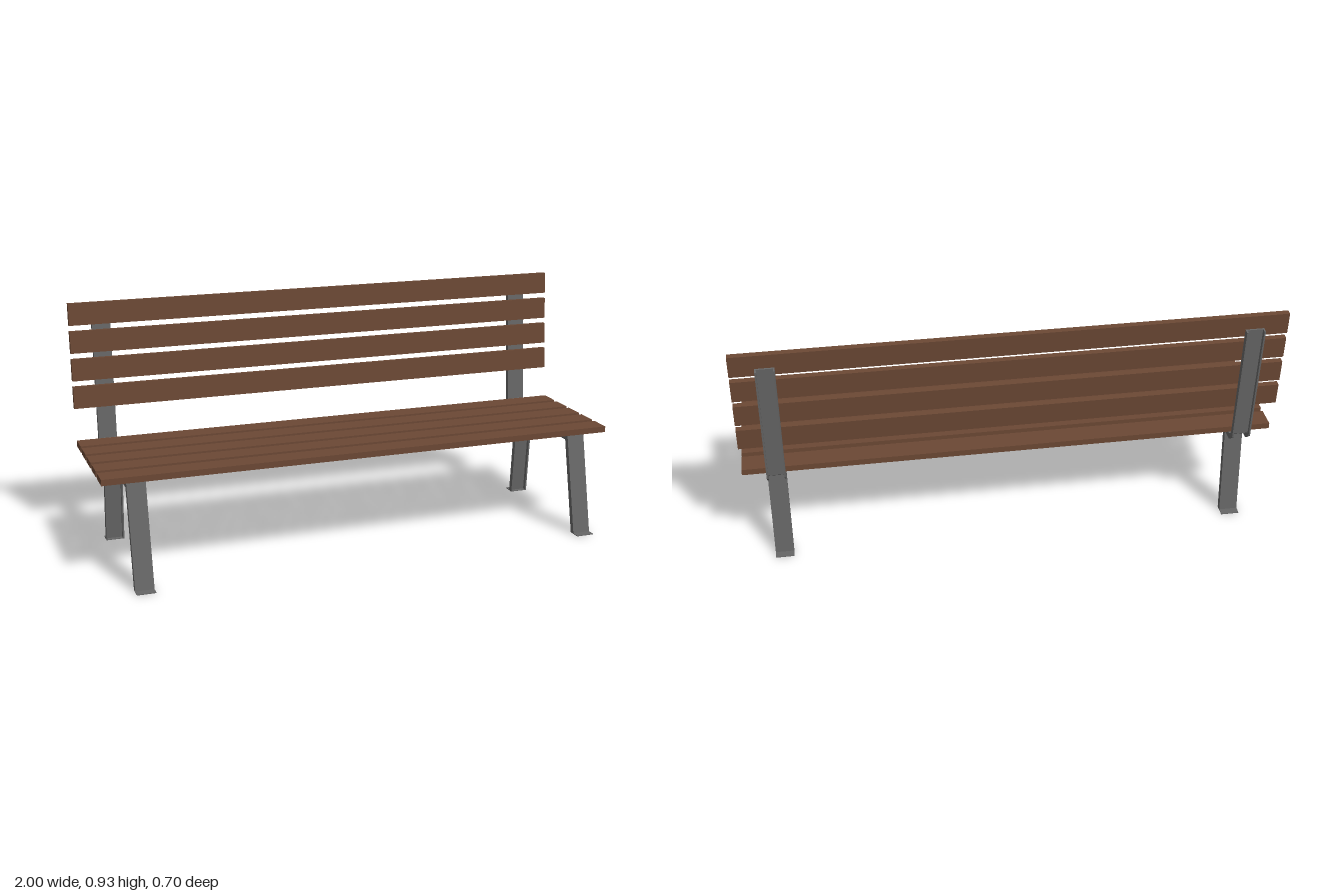
import * as THREE from 'three';

const wood = new THREE.MeshStandardMaterial({ color: 0x6b4834 });
wood.name = 'brown wood';
const steel = new THREE.MeshStandardMaterial({ color: 0x666666 });
steel.name = 'grey steel';

// Side profile given as [z, y] points, extruded along x and centred on x.
function sidePlate(points, x, width) {
  const shape = new THREE.Shape(points.map(([z, y]) => new THREE.Vector2(z, y)));
  const geo = new THREE.ExtrudeGeometry(shape, { depth: width, bevelEnabled: false });
  geo.translate(0, 0, -width / 2);
  geo.rotateY(-Math.PI / 2);
  geo.translate(x, 0, 0);
  return new THREE.Mesh(geo, steel);
}

// U-section bar: a thin web along the closed edge and a wall on each side.
const WIDTH = 0.07, WALL = 0.006;
function channel(name, closed, open) {
  const group = new THREE.Group();
  group.name = name;
  const inner = closed.map(([z, y], i) => [
    z + (open[i][0] - z) * 0.28,
    y + (open[i][1] - y) * 0.28,
  ]);
  const web = sidePlate([...closed, ...inner.reverse()], 0, WIDTH - 2 * WALL);
  web.name = name + 'Web';
  group.add(web);
  for (const s of [-1, 1]) {
    const wall = sidePlate([...closed, ...[...open].reverse()], s * (WIDTH - WALL) / 2, WALL);
    wall.name = name + 'Wall';
    group.add(wall);
  }
  return group;
}

function box(name, material, w, h, d, y, z) {
  const mesh = new THREE.Mesh(new THREE.BoxGeometry(w, h, d), material);
  mesh.name = name;
  mesh.position.set(0, y, z);
  return mesh;
}

// One end frame: bent seat and back rail, two splayed legs, foot plates.
function endFrame(name) {
  const frame = new THREE.Group();
  frame.name = name;
  frame.add(
    channel('seatAndBackRail',
      [[0.218, 0.385], [-0.272, 0.385], [-0.293, 0.4], [-0.328, 0.876]],
      [[0.218, 0.362], [-0.278, 0.362], [-0.312, 0.392], [-0.35, 0.874]]),
    channel('frontLeg',
      [[0.235, 0.385], [0.318, 0]],
      [[0.213, 0.385], [0.296, 0]]),
    channel('backLeg',
      [[-0.224, 0.364], [-0.256, 0]],
      [[-0.202, 0.364], [-0.234, 0]]),
    box('frontFoot', steel, WIDTH, 0.003, 0.052, 0.0015, 0.322),
    box('backFoot', steel, WIDTH, 0.003, 0.05, 0.0015, -0.26),
  );
  return frame;
}

export function createModel() {
  const bench = new THREE.Group();
  bench.name = 'bench';

  // End frames
  for (const s of [-1, 1]) {
    const frame = endFrame(s > 0 ? 'leftFrame' : 'rightFrame');
    frame.position.x = s * 0.875;
    bench.add(frame);
  }

  // Seat slats
  for (let i = 0; i < 5; i++) {
    bench.add(box('seatSlat', wood, 2, 0.023, 0.084, 0.3965, 0.206 - i * 0.107));
  }

  // Backrest slats, leaning with the rail
  for (let i = 0; i < 4; i++) {
    const slat = box('backSlat', wood, 2, 0.084, 0.022, 0.57 + i * 0.106, -0.2925 - i * 0.0078);
    slat.rotation.x = -0.073;
    bench.add(slat);
  }
  return bench;
}
